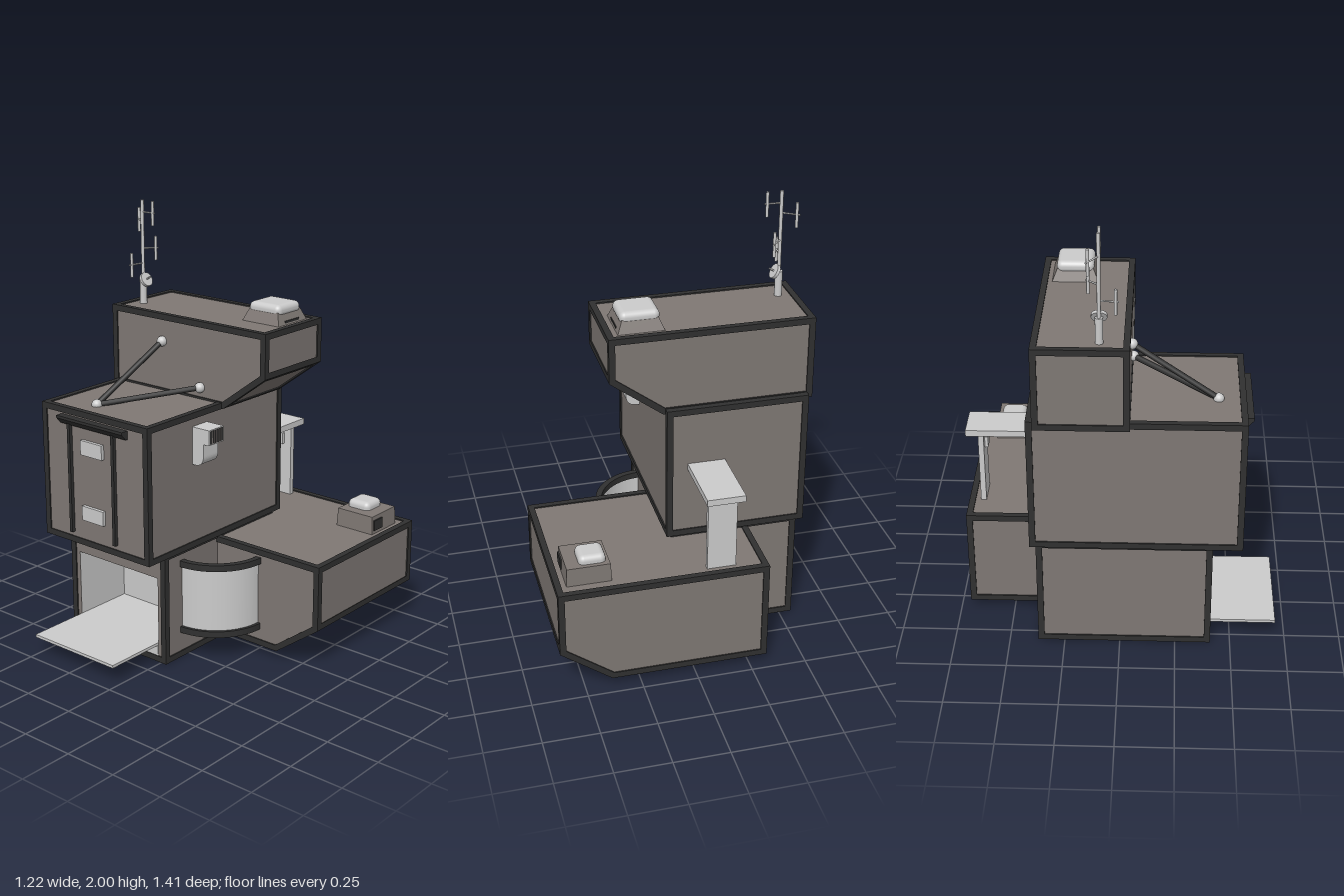
import * as THREE from 'three';
import { RoundedBoxGeometry } from 'three/addons/geometries/RoundedBoxGeometry.js';

const mat = (color, extra = {}) => new THREE.MeshStandardMaterial({ color, ...extra });
const wall = mat(0x7f7874);
const trim = mat(0x303030);
const grey = mat(0xcccccc);
const thin = mat(0xcccccc, { side: THREE.DoubleSide });
const trimThin = mat(0x303030, { side: THREE.DoubleSide });
const V2 = (x, y) => new THREE.Vector2(x, y);
const V3 = (x, y, z) => new THREE.Vector3(x, y, z);

function add(parent, name, geometry, material) {
  const mesh = new THREE.Mesh(geometry, material);
  mesh.name = name;
  parent.add(mesh);
  return mesh;
}

// box given by its extents
function box(parent, name, [x0, x1], [y0, y1], [z0, z1], material) {
  const m = add(parent, name, new THREE.BoxGeometry(x1 - x0, y1 - y0, z1 - z0), material);
  m.position.set((x0 + x1) / 2, (y0 + y1) / 2, (z0 + z1) / 2);
  return m;
}

function rod(parent, name, a, b, r, material, sides = 10) {
  const m = add(parent, name, new THREE.CylinderGeometry(r, r, a.distanceTo(b), sides), material);
  m.position.copy(a).lerp(b, 0.5);
  m.quaternion.setFromUnitVectors(V3(0, 1, 0), b.clone().sub(a).normalize());
  return m;
}

// outline in x/y extruded from z0 to z1
function prism(parent, name, pts, z0, z1, material, holePts) {
  const shape = new THREE.Shape(pts);
  if (holePts) shape.holes.push(new THREE.Path(holePts));
  const g = new THREE.ExtrudeGeometry(shape, { depth: z1 - z0, bevelEnabled: false, curveSegments: 12 });
  return add(parent, name, g.translate(0, 0, z0), material);
}

const rect = (x0, x1, y0, y1) => [V2(x0, y0), V2(x1, y0), V2(x1, y1), V2(x0, y1)];

// edge directions into and out of corner i of a counter-clockwise outline
function dirs(pts, i) {
  const n = pts.length;
  return [pts[i].clone().sub(pts[(i + n - 1) % n]).normalize(),
    pts[(i + 1) % n].clone().sub(pts[i]).normalize()];
}

function inset(pts, w) {
  return pts.map((p, i) => {
    const [a, b] = dirs(pts, i);
    const n = V2(-a.y - b.y, a.x + b.x);
    return p.clone().addScaledVector(n, w / (1 + a.dot(b)));
  });
}

// module shell with dark beams along every edge
function shell(parent, name, pts, z0, z1, doorway) {
  const g = new THREE.Group();
  g.name = name;
  parent.add(g);
  const w = 0.028, s = 0.006;
  const body = inset(pts, s), inner = inset(pts, w);
  if (doorway) {
    prism(g, 'frontWalls', body, z1 - doorway.depth, z1 - s, wall, doorway.outline);
    prism(g, 'rearBody', body, z0 + s, z1 - doorway.depth, wall);
  } else {
    prism(g, 'panels', body, z0 + s, z1 - s, wall);
  }
  prism(g, 'frontFrame', pts, z1 - w, z1, trim, inner);
  prism(g, 'backFrame', pts, z0, z0 + w, trim, inner);
  pts.forEach((p, i) => {
    const [a, b] = dirs(pts, i);
    const corner = [p, p.clone().addScaledVector(b, w), inner[i], p.clone().addScaledVector(a, -w)];
    prism(g, 'edgeBeam', corner, z0 + w, z1 - w, trim);
  });
  return g;
}

// four-sided tapered block
function taper(parent, name, w, d, h, scale, material) {
  const g = new THREE.BoxGeometry(w, h, d).translate(0, h / 2, 0);
  const p = g.attributes.position;
  for (let i = 0; i < p.count; i++) {
    if (p.getY(i) > h / 2) p.setXYZ(i, p.getX(i) * scale, h, p.getZ(i) * scale);
  }
  g.computeVertexNormals();
  return add(parent, name, g, material);
}

export function createModel() {
  const model = new THREE.Group();
  model.name = 'stackedModules';

  // four stacked modules
  const door = rect(-0.51, -0.02, 0.03, 0.41);
  const base = shell(model, 'entranceModule', rect(-0.56, 0.03, 0, 0.535), -0.37, 0.41,
    { outline: door, depth: 0.3 });
  const middle = shell(model, 'middleModule', rect(-0.585, 0.055, 0.53, 1.165), -0.395, 0.54);
  shell(model, 'topModule', [V2(-0.61, 1.14), V2(0.065, 1.14), V2(0.3, 1.315), V2(0.3, 1.52), V2(-0.61, 1.52)],
    -0.365, 0.045);
  shell(model, 'sideModule', [V2(-0.33, 0.04), V2(0.38, 0.04), V2(0.61, 0.21), V2(0.61, 0.515), V2(-0.33, 0.515)],
    -0.705, 0.045);

  // entrance lining, sill and ramp
  box(base, 'entranceLining', [-0.509, -0.021], [0.031, 0.409], [0.112, 0.404],
    [grey, grey, grey, grey, null, grey].map((m) => m && mat(0xcccccc, { side: THREE.BackSide }))
      .map((m) => m || mat(0xcccccc, { visible: false })));
  box(base, 'sill', [-0.51, -0.02], [0.025, 0.08], [0.39, 0.407], grey);
  box(base, 'ramp', [-0.51, -0.02], [0.08, 0.094], [0.112, 0.705], grey);

  // curved corner window with dark rims
  const bay = new THREE.Group();
  bay.name = 'cornerWindow';
  bay.position.set(0.02, 0, 0.04);
  model.add(bay);
  const glass = new THREE.CylinderGeometry(0.248, 0.248, 0.32, 24, 1, true, 0, Math.PI / 2);
  add(bay, 'curvedGlass', glass, thin).position.y = 0.295;
  const arc = new THREE.Shape();
  arc.absarc(0, 0, 0.262, 0, Math.PI / 2, false);
  arc.absarc(0, 0, 0.234, Math.PI / 2, 0, true);
  const rim = new THREE.ExtrudeGeometry(arc, { depth: 0.03, bevelEnabled: false, curveSegments: 20 });
  rim.rotateX(Math.PI / 2);
  for (const y of [0.15, 0.475]) add(bay, 'windowRim', rim, trimThin).position.y = y;

  // front hatch: header, rails and plates
  const hatch = new THREE.Group();
  hatch.name = 'frontHatch';
  model.add(hatch);
  const header = new THREE.Shape([V2(-0.53, 1.09), V2(-0.545, 1.09), V2(-0.57, 1.118), V2(-0.57, 1.13), V2(-0.53, 1.13)]);
  const headerGeo = new THREE.ExtrudeGeometry(header, { depth: 0.4, bevelEnabled: false });
  headerGeo.rotateY(Math.PI / 2).translate(-0.465, 0, 0);
  add(hatch, 'header', headerGeo, trimThin);
  for (const x of [-0.412, -0.145]) box(hatch, 'rail', [x - 0.008, x + 0.008], [0.58, 1.1], [0.53, 0.551], trim);
  for (const y of [0.69, 1.0]) box(hatch, 'plate', [-0.34, -0.21], [y - 0.034, y + 0.034], [0.53, 0.55], grey);

  // side vent with slatted mouth
  const vent = new THREE.Shape();
  vent.moveTo(0.045, 0.925);
  vent.lineTo(0.07, 0.925);
  vent.quadraticCurveTo(0.113, 0.93, 0.113, 0.975);
  for (const [x, y] of [[0.113, 1.03], [0.145, 1.03], [0.145, 1.1], [0.045, 1.1]]) vent.lineTo(x, y);
  const ventGeo = new THREE.ExtrudeGeometry(vent, { depth: 0.1, bevelEnabled: false });
  add(middle, 'sideVent', ventGeo.translate(0, 0, 0.14), grey);
  box(middle, 'ventMouth', [0.14, 0.146], [1.035, 1.096], [0.146, 0.234], trim);
  for (let i = 0; i < 5; i++) {
    const z = 0.16 + i * 0.015;
    box(middle, 'ventSlat', [0.14, 0.148], [1.035, 1.096], [z - 0.002, z + 0.002], wall);
  }

  // rear walkway on a panel leg
  const walkway = new THREE.Group();
  walkway.name = 'rearWalkway';
  model.add(walkway);
  box(walkway, 'deck', [-0.21, -0.04], [0.863, 0.893], [-0.705, -0.385], grey);
  box(walkway, 'leg', [-0.19, -0.06], [0.51, 0.865], [-0.652, -0.627], grey);
  box(walkway, 'bracket', [-0.15, -0.1], [0.77, 0.825], [-0.63, -0.612], grey);

  // braces with ball ends
  const braces = new THREE.Group();
  braces.name = 'braces';
  model.add(braces);
  const foot = V3(-0.358, 1.165, 0.42);
  const heads = [V3(-0.3, 1.392, 0.047), V3(-0.073, 1.213, 0.047)];
  for (const h of heads) rod(braces, 'brace', foot, h, 0.013, trim);
  for (const p of [foot, ...heads]) {
    add(braces, 'ballJoint', new THREE.SphereGeometry(0.024, 16, 12), grey).position.copy(p);
  }

  // roof skylight
  const skylight = new THREE.Group();
  skylight.name = 'skylight';
  skylight.position.set(0.147, 1.515, -0.215);
  model.add(skylight);
  taper(skylight, 'skylightBase', 0.205, 0.205, 0.055, 0.78, wall);
  add(skylight, 'skylightDome', new RoundedBoxGeometry(0.175, 0.055, 0.165, 4, 0.025), grey).position.y = 0.06;
  box(skylight, 'skylightSlot', [0.085, 0.1], [0, 0.016], [-0.05, 0.05], trim);

  // roof unit on the side module
  const unit = new THREE.Group();
  unit.name = 'roofUnit';
  model.add(unit);
  const housing = taper(unit, 'housing', 0.2, 0.196, 0.085, 0.96, wall);
  housing.position.set(0.46, 0.51, -0.537);
  add(unit, 'cap', new RoundedBoxGeometry(0.12, 0.06, 0.12, 4, 0.025), grey).position.set(0.438, 0.602, -0.553);
  box(unit, 'grille', [0.55, 0.564], [0.525, 0.575], [-0.52, -0.453], trim);

  // antenna mast with branching aerials and a small dish
  const antenna = new THREE.Group();
  antenna.name = 'antenna';
  antenna.position.set(-0.53, 0, -0.083);
  model.add(antenna);
  rod(antenna, 'mastBase', V3(0, 1.51, 0), V3(0, 1.63, 0), 0.017, grey, 16);
  rod(antenna, 'mast', V3(0, 1.62, 0), V3(0, 2, 0), 0.008, grey);
  const arms = [[-0.058, 1.9, -0.04], [0.064, 1.945, 0], [0.04, 1.775, -0.045], [-0.008, 1.705, 0.068]];
  for (const [x, y, z] of arms) {
    rod(antenna, 'arm', V3(0, y, 0), V3(x * 1.2, y, z * 1.2), 0.004, grey, 6);
    rod(antenna, 'aerial', V3(x, y - 0.058, z), V3(x, y + 0.055, z), 0.007, grey, 8);
  }
  rod(antenna, 'dish', V3(0.012, 1.625, 0), V3(0.024, 1.632, 0), 0.034, grey, 20);
  rod(antenna, 'dishFeed', V3(0.02, 1.63, 0), V3(0.045, 1.645, 0), 0.004, grey, 6);

  return model;
}
